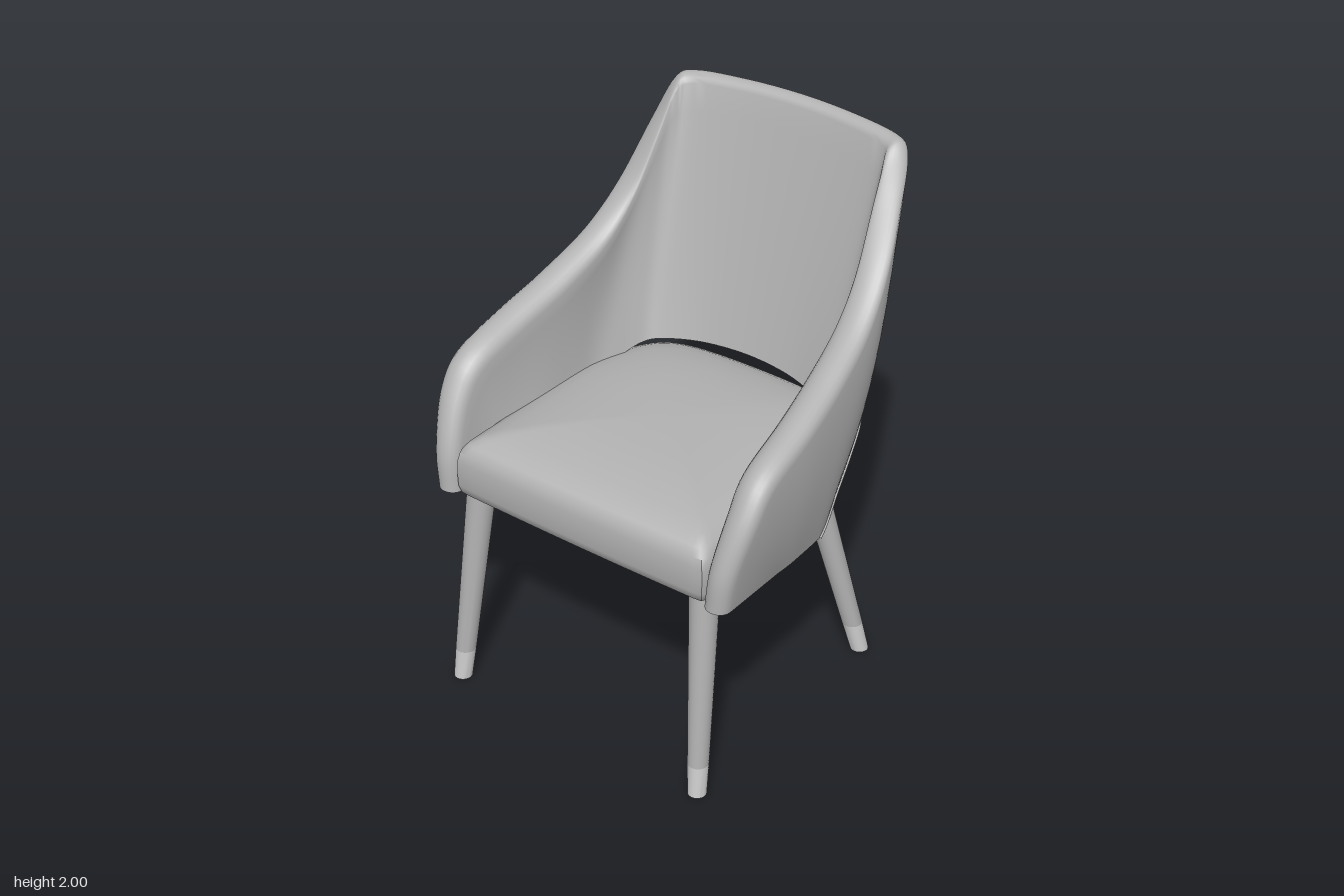
import * as THREE from 'three';
import { toCreasedNormals } from 'three/addons/utils/BufferGeometryUtils.js';

const material = (name, color) =>
  Object.assign(new THREE.MeshStandardMaterial({ color }), { name });

// Skin a list of closed rings; optionally close the two ends with fans.
function loft(rings, capEnds = false) {
  const n = rings[0].length, last = (rings.length - 1) * n, index = [];
  for (let j = 0; j < rings.length - 1; j++) {
    for (let i = 0; i < n; i++) {
      const a = j * n + i, b = j * n + (i + 1) % n;
      index.push(a, a + n, b, b, a + n, b + n);
    }
  }
  if (capEnds) {
    for (let i = 1; i < n - 1; i++) {
      index.push(0, i, i + 1, last, last + i + 1, last + i);
    }
  }
  const geometry = new THREE.BufferGeometry().setFromPoints(rings.flat());
  geometry.setIndex(index);
  return toCreasedNormals(geometry, 0.95);
}

// Half of the wraparound shell, from the arm front to the middle of the back:
// outer bottom xyz, outer top xyz, bottom and top thickness, bulge, inward angle
const HALF_SHELL = [
  [0.63, 0.787, 0.35, 0.63, 0.787, 0.59, 0.12, 0.095, 0, 0],
  [0.63, 0.787, 0.34, 0.648, 0.92, 0.577, 0.135, 0.105, 0.005, 0],
  [0.63, 0.787, 0.32, 0.677, 1.09, 0.512, 0.165, 0.12, 0.01, 0],
  [0.632, 0.787, 0.28, 0.682, 1.2, 0.422, 0.19, 0.13, 0.015, 0],
  [0.632, 0.787, 0.22, 0.672, 1.272, 0.22, 0.205, 0.135, 0.02, 0],
  [0.625, 0.787, 0.07, 0.648, 1.34, 0.02, 0.19, 0.135, 0.02, 0],
  [0.61, 0.91, -0.05, 0.615, 1.44, -0.19, 0.155, 0.125, 0.02, 6],
  [0.58, 0.985, -0.17, 0.58, 1.585, -0.35, 0.14, 0.11, 0.02, 16],
  [0.535, 1.03, -0.29, 0.535, 1.79, -0.49, 0.135, 0.095, 0.015, 31],
  [0.47, 1.055, -0.385, 0.495, 1.925, -0.583, 0.135, 0.085, 0.01, 49],
  [0.36, 1.07, -0.44, 0.425, 1.957, -0.629, 0.13, 0.07, 0.003, 66],
  [0.2, 1.08, -0.478, 0.22, 1.967, -0.662, 0.12, 0.065, 0, 79],
  [0, 1.085, -0.49, 0, 1.97, -0.673, 0.115, 0.065, 0, 90],
];

function shellCurves() {
  const mirrored = HALF_SHELL.slice(0, -1).reverse().map((r) =>
    [-r[0], r[1], r[2], -r[3], r[4], r[5], r[6], r[7], r[8], 180 - r[9]]);
  const stations = [...HALF_SHELL, ...mirrored];
  const curve = (k) => new THREE.CatmullRomCurve3(
    stations.map((r) => new THREE.Vector3(r[k], r[k + 1] ?? 0, r[k + 2] ?? 0)),
    false, 'catmullrom', 0.5);
  return { bottom: curve(0), top: curve(3), size: curve(6), angle: curve(9) };
}

function shellRing(curves, u) {
  const B = curves.bottom.getPoint(u), T = curves.top.getPoint(u);
  B.y = Math.max(B.y, 0.787);
  const { x: tb, y: tt, z: bulge } = curves.size.getPoint(u);
  const a = THREE.MathUtils.degToRad(curves.angle.getPoint(u).x);
  const inward = new THREE.Vector3(-Math.cos(a), 0, Math.sin(a));
  const up = T.clone().sub(B).normalize();
  // the underside of the backrest slopes down slightly towards the seat
  const drop = 0.13 * tb * Math.sin(a);
  const wall = (v, inner) => {
    const p = B.clone().lerp(T, v).addScaledVector(inward,
      inner * THREE.MathUtils.lerp(tb, tt, v) - bulge * 4 * v * (1 - v));
    p.y -= inner * drop * (1 - v);
    return p;
  };
  const ring = [];
  for (let i = 0; i <= 10; i++) ring.push(wall(i / 10, 0));
  // rounded rim
  for (let i = 1; i < 10; i++) {
    const t = Math.PI * i / 10;
    ring.push(T.clone().addScaledVector(inward, tt * (1 - Math.cos(t)) / 2)
      .addScaledVector(up, Math.min(tt * 0.46, 0.055) * Math.sin(t)));
  }
  for (let i = 10; i >= 0; i--) ring.push(wall(i / 10, 1));
  return ring;
}

// Domed cushion: one plan outline, scaled at each height
function seatGeometry() {
  const plan = new THREE.Shape();
  plan.moveTo(0, -0.462);
  plan.bezierCurveTo(0.2, -0.46, 0.35, -0.455, 0.42, -0.39);
  plan.bezierCurveTo(0.5, -0.31, 0.54, -0.17, 0.545, 0);
  plan.lineTo(0.545, 0.59);
  plan.quadraticCurveTo(0.545, 0.616, 0.52, 0.618);
  plan.quadraticCurveTo(0.25, 0.624, 0, 0.624);
  const half = plan.getSpacedPoints(64);
  const outline = [...half, ...half.slice(1, -1).reverse().map((p) => new THREE.Vector2(-p.x, p.y))];
  const levels = [[0, 0.783], [0.96, 0.783], [0.985, 0.795], [0.998, 0.825], [1, 0.88], [0.997, 0.925],
    [0.982, 0.96], [0.945, 0.987], [0.88, 1.007], [0.78, 1.023], [0.62, 1.04], [0.4, 1.052], [0, 1.057]];
  return loft(levels.map(([s, y]) =>
    outline.map((p) => new THREE.Vector3(p.x * s, y, 0.08 + (p.y - 0.08) * s))));
}

// Upright tapered cylinder, sheared so both ends stay level
function slantedCylinder(from, to, r0, r1) {
  const geometry = new THREE.CylinderGeometry(r1, r0, to.y - from.y, 24);
  geometry.translate(0, (to.y + from.y) / 2, 0);
  const pos = geometry.attributes.position;
  for (let i = 0; i < pos.count; i++) {
    const k = (pos.getY(i) - from.y) / (to.y - from.y);
    pos.setX(i, pos.getX(i) + THREE.MathUtils.lerp(from.x, to.x, k));
    pos.setZ(i, pos.getZ(i) + THREE.MathUtils.lerp(from.z, to.z, k));
  }
  return toCreasedNormals(geometry, 0.7);
}

export function createModel() {
  const chair = new THREE.Group();
  chair.name = 'armchair';
  const fabric = material('upholstery grey', 0xb2b2b2);
  const legGrey = material('leg grey', 0xb0b0b0);
  const tipGrey = material('leg tip light grey', 0xcccccc);
  const add = (name, geometry, mat) => {
    const mesh = new THREE.Mesh(geometry, mat);
    mesh.name = name;
    chair.add(mesh);
  };

  // backrest and arms in one wraparound shell
  const curves = shellCurves();
  const rings = Array.from({ length: 145 }, (_, j) => shellRing(curves, j / 144));
  add('backrestAndArms', loft(rings, true), fabric);

  // piping along the raised lower edge of the shell
  const edge = rings.slice(30, 115).map((ring) => ring[0]);
  add('lowerEdgePiping', new THREE.TubeGeometry(new THREE.CatmullRomCurve3(edge), 120, 0.007, 8), fabric);

  add('seatCushion', seatGeometry(), fabric);

  // four splayed legs with pale tips
  const legs = [
    ['front', [0.488, 0.8, 0.54], [0.536, 0, 0.642]],
    ['rear', [0.365, 0.8, -0.24], [0.53, 0, -0.368]],
  ];
  for (const [place, top, foot] of legs) {
    for (const side of [1, -1]) {
      const head = new THREE.Vector3(top[0] * side, top[1], top[2]);
      const base = new THREE.Vector3(foot[0] * side, foot[1], foot[2]);
      const joint = base.clone().lerp(head, 0.15);
      const label = place + (side > 0 ? 'Left' : 'Right');
      add(label + 'Leg', slantedCylinder(joint, head, 0.038, 0.053), legGrey);
      add(label + 'LegTip', slantedCylinder(base, joint, 0.034, 0.038), tipGrey);
    }
  }
  return chair;
}
